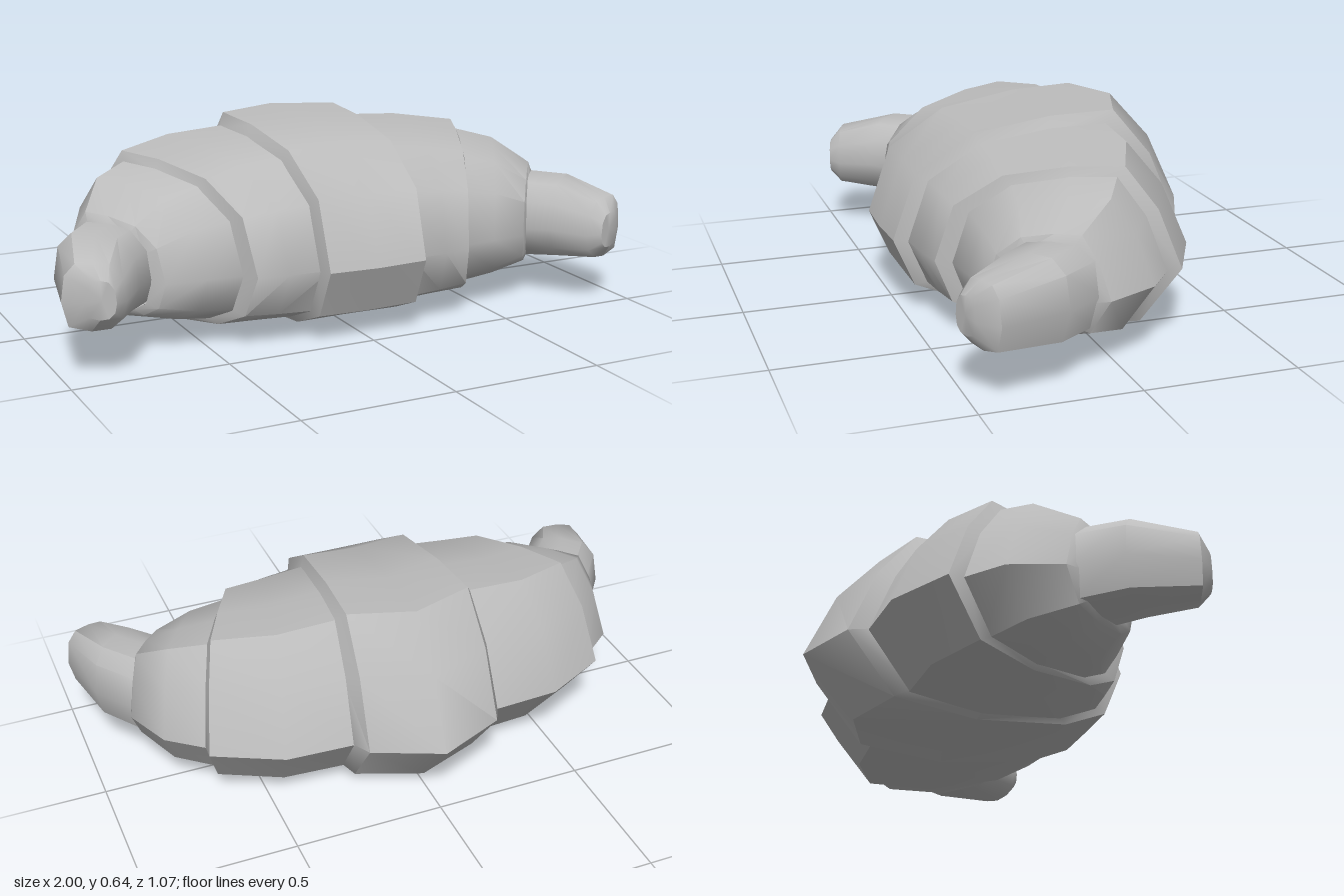
import * as THREE from 'three';
import { toCreasedNormals } from 'three/addons/utils/BufferGeometryUtils.js';

// Cross-sections as [front-to-back, vertical] in -1..1, running front, top, back, bottom
const BODY = [[1, -.22], [.84, .47], [.44, .85], [-.09, .98], [-.53, 1], [-.8, .5],
  [-1, -.22], [-.67, -.88], [-.09, -1], [.56, -.91], [.86, -.72]];
const ROUND = [[1, -.15], [.9, .5], [.5, .92], [0, 1], [-.55, .98], [-.88, .65],
  [-1, -.12], [-.8, -.85], [-.1, -1], [.5, -.94], [.88, -.65]];

// A ring is [frontX, frontZ, backX, backZ, bottomY, topY]
function ringPoints([fx, fz, bx, bz, y0, y1], section, side) {
  return section.map(([u, v]) => {
    const t = (1 - u) / 2;
    return [side * (fx + (bx - fx) * t), (y0 + y1) / 2 + v * (y1 - y0) / 2, fz + (bz - fz) * t];
  });
}

// Skin a row of rings; side -1 mirrors it
function loft(rings, section, side, capEnd) {
  const loops = rings.map(r => ringPoints(r, section, side));
  const pos = [];
  const tri = (a, b, c) => pos.push(...a, ...(side > 0 ? b : c), ...(side > 0 ? c : b));
  const n = section.length;
  for (let i = 0; i < loops.length - 1; i++) {
    for (let j = 0; j < n; j++) {
      const k = (j + 1) % n;
      const a = loops[i][j], b = loops[i + 1][j], c = loops[i + 1][k], d = loops[i][k];
      tri(a, b, d);
      tri(b, c, d);
    }
  }
  if (capEnd) {
    const last = loops[loops.length - 1];
    const mid = [0, 1, 2].map(q => last.reduce((s, p) => s + p[q], 0) / n);
    for (let j = 0; j < n; j++) tri(last[j], mid, last[(j + 1) % n]);
  }
  const geo = new THREE.BufferGeometry();
  geo.setAttribute('position', new THREE.Float32BufferAttribute(pos, 3));
  return toCreasedNormals(geo, 0.72);
}

export function createModel() {
  const group = new THREE.Group();
  group.name = 'croissant';
  const crust = new THREE.MeshStandardMaterial({ color: 0xbcbcbc, side: THREE.DoubleSide });
  crust.name = 'crust grey';
  const add = (name, geo) => {
    const mesh = new THREE.Mesh(geo, crust);
    mesh.name = name;
    group.add(mesh);
  };

  // Central fold, pointed at the back, with a bevelled lip on each side
  const half = [
    [.17, .53, .225, -.44, .005, .637],
    [.185, .475, .26, -.37, .03, .59],
  ];
  const flip = ([fx, fz, bx, bz, a, b]) => [-fx, fz, -bx, bz, a, b];
  add('centralFold', loft(
    [flip(half[1]), flip(half[0]), [0, .535, 0, -.537, 0, .64], half[0], half[1]], BODY, 1, false));

  for (const side of [1, -1]) {
    const label = side > 0 ? 'left' : 'right';
    // Broad fold beside the centre
    add(label + 'MiddleFold', loft([
      [.15, .487, .2, -.382, .02, .602],
      [.28, .472, .48, -.365, .026, .588],
      [.38, .45, .70, -.25, .035, .565],
      [.41, .395, .697, -.19, .055, .53],
    ], BODY, side, false));
    // Narrower outer fold
    add(label + 'OuterFold', loft([
      [.38, .403, .68, -.215, .048, .54],
      [.52, .387, .81, -.11, .07, .505],
      [.65, .365, .875, .055, .11, .43],
      [.685, .33, .865, .10, .13, .395],
    ], BODY, side, false));
    // Curled tip with a blunt end
    add(label + 'Tip', loft([
      [.66, .305, .85, .07, .125, .405],
      [.74, .39, .955, .21, .135, .405],
      [.82, .495, 1, .43, .155, .365],
      [.86, .522, .945, .49, .2, .32],
    ], ROUND, side, true));
  }
  return group;
}
